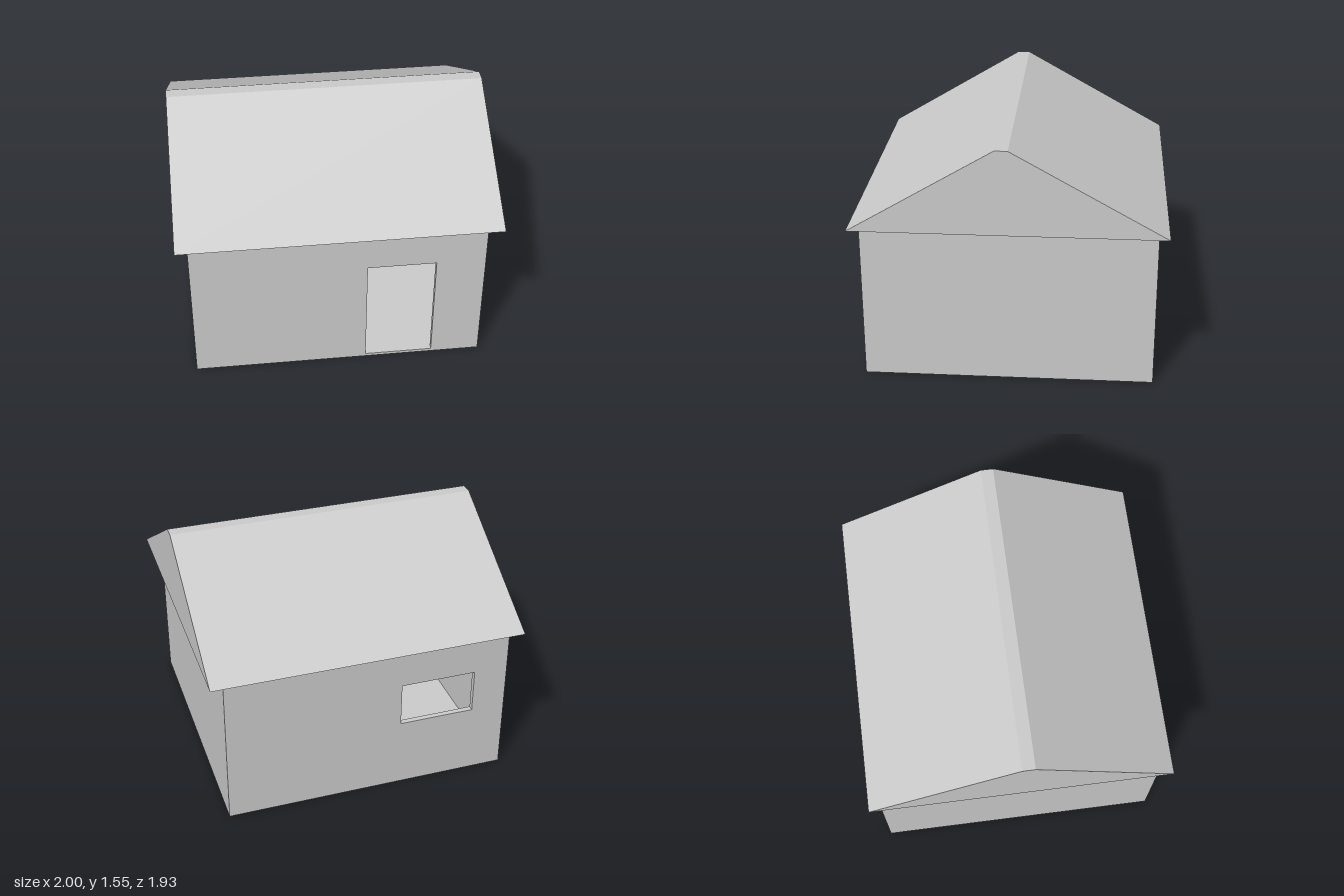
import * as THREE from 'three';

const X0 = -0.925, X1 = 0.91, Z = 0.903; // wall outline
const FLOOR = 0.02, EAVE = 1.02, T = 0.035; // floor top, wall top, wall thickness

export function createModel() {
  const house = new THREE.Group();
  house.name = 'house';
  const material = new THREE.MeshStandardMaterial({ color: 0xcccccc, flatShading: true });

  const add = (name, geometry, x = 0, y = 0, z = 0) => {
    const mesh = new THREE.Mesh(geometry, material);
    mesh.name = name;
    mesh.position.set(x, y, z);
    house.add(mesh);
    return mesh;
  };
  const polygon = (points) => new THREE.Shape(points.map(([x, y]) => new THREE.Vector2(x, y)));
  const extrude = (shape, depth) => new THREE.ExtrudeGeometry(shape, { depth, bevelEnabled: false });

  // Floor slab
  const width = X1 - X0, midX = (X0 + X1) / 2;
  add('floor', new THREE.BoxGeometry(width, FLOOR, 2 * Z), midX, FLOOR / 2, 0);

  // Front wall, with a doorway open down to the floor
  const front = polygon([
    [X0, FLOOR], [0.17, FLOOR], [0.17, 0.755], [0.6, 0.755],
    [0.6, FLOOR], [X1, FLOOR], [X1, EAVE], [X0, EAVE],
  ]);
  add('frontWall', extrude(front, T), 0, 0, Z - T);

  // Back wall, with a window opening
  const back = polygon([[X0, FLOOR], [X1, FLOOR], [X1, EAVE], [X0, EAVE]]);
  back.holes.push(polygon([[-0.705, 0.465], [-0.705, 0.755], [-0.22, 0.755], [-0.22, 0.465]]));
  add('backWall', extrude(back, T), 0, 0, -Z);

  // Side walls fitted between front and back
  const sideGeometry = new THREE.BoxGeometry(T, EAVE - FLOOR, 2 * (Z - T));
  const sideY = (FLOOR + EAVE) / 2;
  add('leftWall', sideGeometry, X1 - T / 2, sideY, 0);
  add('rightWall', sideGeometry, X0 + T / 2, sideY, 0);

  // Solid gable roof with a narrow flat ridge; the section is drawn in (-z, y)
  const section = polygon([[-0.965, EAVE], [0.965, EAVE], [0.008, 1.555], [-0.072, 1.555]]);
  add('roof', extrude(section, 2), -1, 0, 0).rotation.y = Math.PI / 2;

  return house;
}
